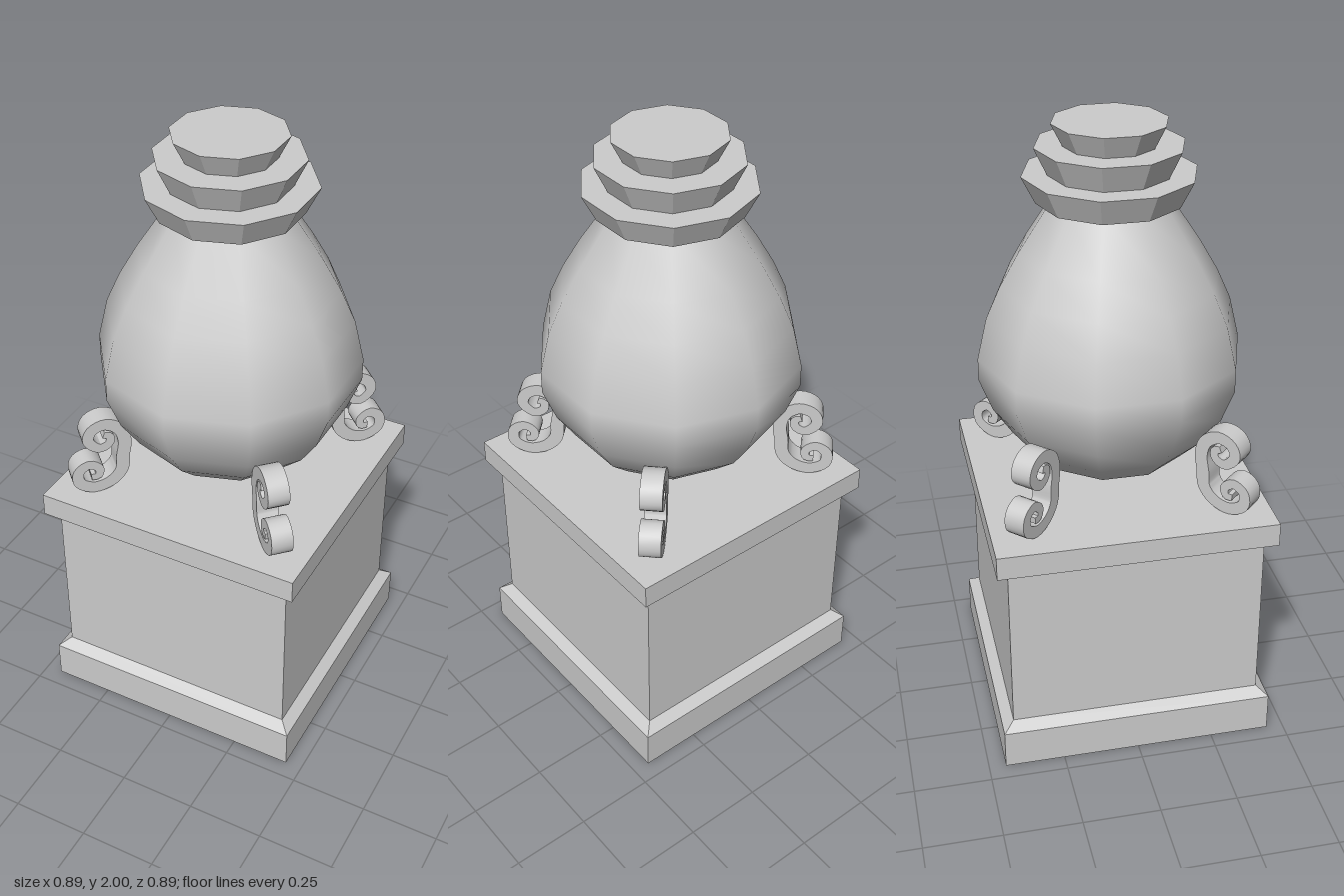
import * as THREE from 'three';
import { toCreasedNormals } from 'three/addons/utils/BufferGeometryUtils.js';

const smooth = new THREE.MeshStandardMaterial({ color: 0xcccccc });
const flat = new THREE.MeshStandardMaterial({ color: 0xcccccc, flatShading: true });

const vectors = (pairs) => pairs.map(([x, y]) => new THREE.Vector2(x, y));

function add(parent, name, geometry, material) {
  const mesh = new THREE.Mesh(geometry, material);
  mesh.name = name;
  parent.add(mesh);
  return mesh;
}

// Square moulding turned from a profile of [half width, height]
function squareProfile(pairs) {
  const points = vectors(pairs.map(([w, y]) => [w * Math.SQRT2, y]));
  return new THREE.LatheGeometry(points, 4, Math.PI / 4);
}

// Ribbon curled at both ends: x is the distance from the axis, thickest at mid-length
function scrollGeometry(width) {
  const curve = new THREE.SplineCurve(vectors([
    [0.428, 1.035], [0.407, 1.028], [0.412, 1.0], [0.445, 0.988], [0.478, 1.02],
    [0.465, 1.06], [0.42, 1.076], [0.375, 1.05], [0.36, 1.0], [0.368, 0.945],
    [0.374, 0.89], [0.41, 0.85], [0.465, 0.836], [0.513, 0.86], [0.515, 0.905],
    [0.48, 0.928], [0.448, 0.908], [0.452, 0.88], [0.475, 0.878],
  ]));
  const outer = [], inner = [], steps = 72;
  for (let i = 0; i <= steps; i++) {
    const t = i / steps;
    const p = curve.getPoint(t), d = curve.getTangent(t);
    const half = 0.011 + 0.011 * Math.sin(Math.PI * t);
    const n = new THREE.Vector2(-d.y, d.x).multiplyScalar(half);
    outer.push(p.clone().add(n));
    inner.unshift(p.clone().sub(n));
  }
  const geometry = new THREE.ExtrudeGeometry(new THREE.Shape([...outer, ...inner]), {
    depth: width, bevelEnabled: false,
  });
  geometry.translate(0, 0, -width / 2);
  return toCreasedNormals(geometry, 0.7);
}

export function createModel() {
  const model = new THREE.Group();
  model.name = 'urnOnPedestal';

  // Square pedestal with base and cap mouldings
  add(model, 'pedestal', squareProfile([
    [0, 0], [0.445, 0], [0.445, 0.13], [0.41, 0.157], [0.41, 0.717],
    [0.447, 0.737], [0.447, 0.815], [0, 0.815],
  ]), flat);

  // Ten-sided pear-shaped vessel
  const vessel = vectors([
    [0, 0.835], [0.06, 0.837], [0.15, 0.862], [0.24, 0.915], [0.32, 0.99],
    [0.38, 1.08], [0.422, 1.19], [0.422, 1.265], [0.39, 1.4], [0.345, 1.5],
    [0.285, 1.605], [0.18, 1.765],
  ]);
  add(model, 'vessel', new THREE.LatheGeometry(vessel, 10), smooth);

  // Three stacked flaring collars: [top radius, bottom radius, bottom, top]
  const collars = [
    [0.27, 0.227, 1.76, 1.845],
    [0.23, 0.19, 1.845, 1.93],
    [0.178, 0.143, 1.93, 2.0],
  ];
  collars.forEach(([top, bottom, y0, y1], i) => {
    const ring = add(model, `collar${i + 1}`,
      new THREE.CylinderGeometry(top, bottom, y1 - y0, 10), flat);
    ring.position.y = (y0 + y1) / 2;
  });

  // Scroll feet on the four diagonals
  const scroll = scrollGeometry(0.07);
  for (let i = 0; i < 4; i++) {
    const foot = add(model, `scrollFoot${i + 1}`, scroll, smooth);
    foot.rotation.y = Math.PI / 4 + i * Math.PI / 2;
  }
  return model;
}
